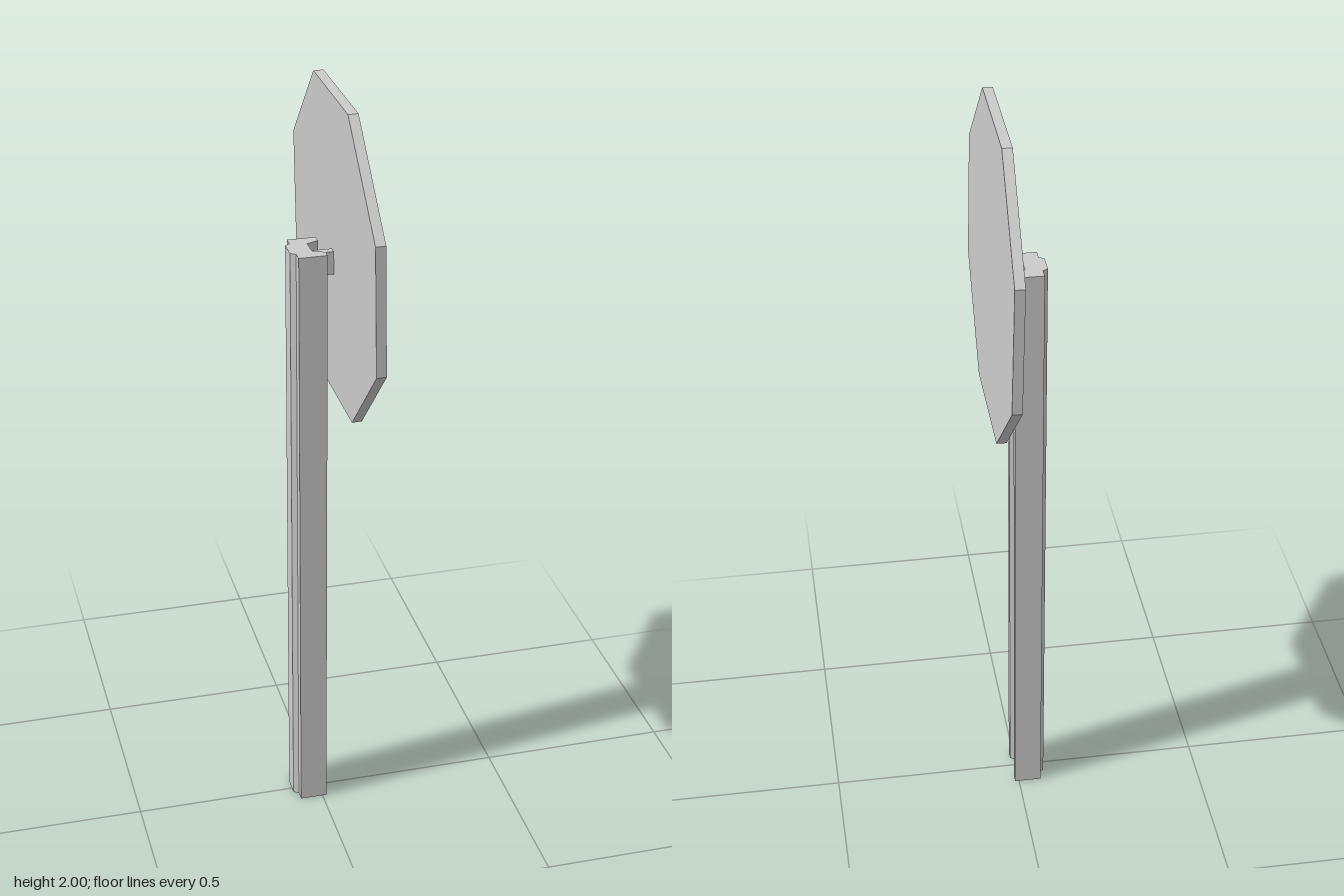
import * as THREE from 'three';

const material = new THREE.MeshStandardMaterial({ color: 0xcccccc, flatShading: true });

function extrude(points, depth) {
  const shape = new THREE.Shape(points.map(([x, y]) => new THREE.Vector2(x, y)));
  return new THREE.ExtrudeGeometry(shape, { depth, bevelEnabled: false });
}

function part(name, geometry) {
  const mesh = new THREE.Mesh(geometry, material);
  mesh.name = name;
  return mesh;
}

export function createModel() {
  const group = new THREE.Group();
  group.name = 'roadSign';

  // Channel post: half of the cross-section, mirrored, extruded upwards
  const half = [[-0.074, 0.025], [-0.061, 0.034], [-0.061, 0.06], [0.011, 0.06], [0.011, 0.037], [-0.019, 0.024]];
  const mirrored = half.map(([x, y]) => [x, -y]).reverse();
  const post = part('post', extrude([...half, ...mirrored], 1.61).rotateX(-Math.PI / 2));
  post.position.z = -0.0075;
  group.add(post);

  // Bracket between the post channel and the plate
  const bracket = part('bracket', new THREE.BoxGeometry(0.062, 0.06, 0.02));
  bracket.position.set(0.011, 1.568, -0.005);
  group.add(bracket);

  // Octagonal plate facing +x, leaning back slightly
  const a = 0.396, b = 0.164, thickness = 0.025;
  const octagon = [[a, -b], [a, b], [b, a], [-b, a], [-a, b], [-a, -b], [-b, -a], [b, -a]];
  const plate = part('signPlate', extrude(octagon, thickness).translate(0, 0, -thickness / 2).rotateY(Math.PI / 2));
  plate.position.set(0.0505, 1.604, -0.002);
  plate.rotation.set(0, -0.006, 0.02);
  group.add(plate);

  return group;
}
